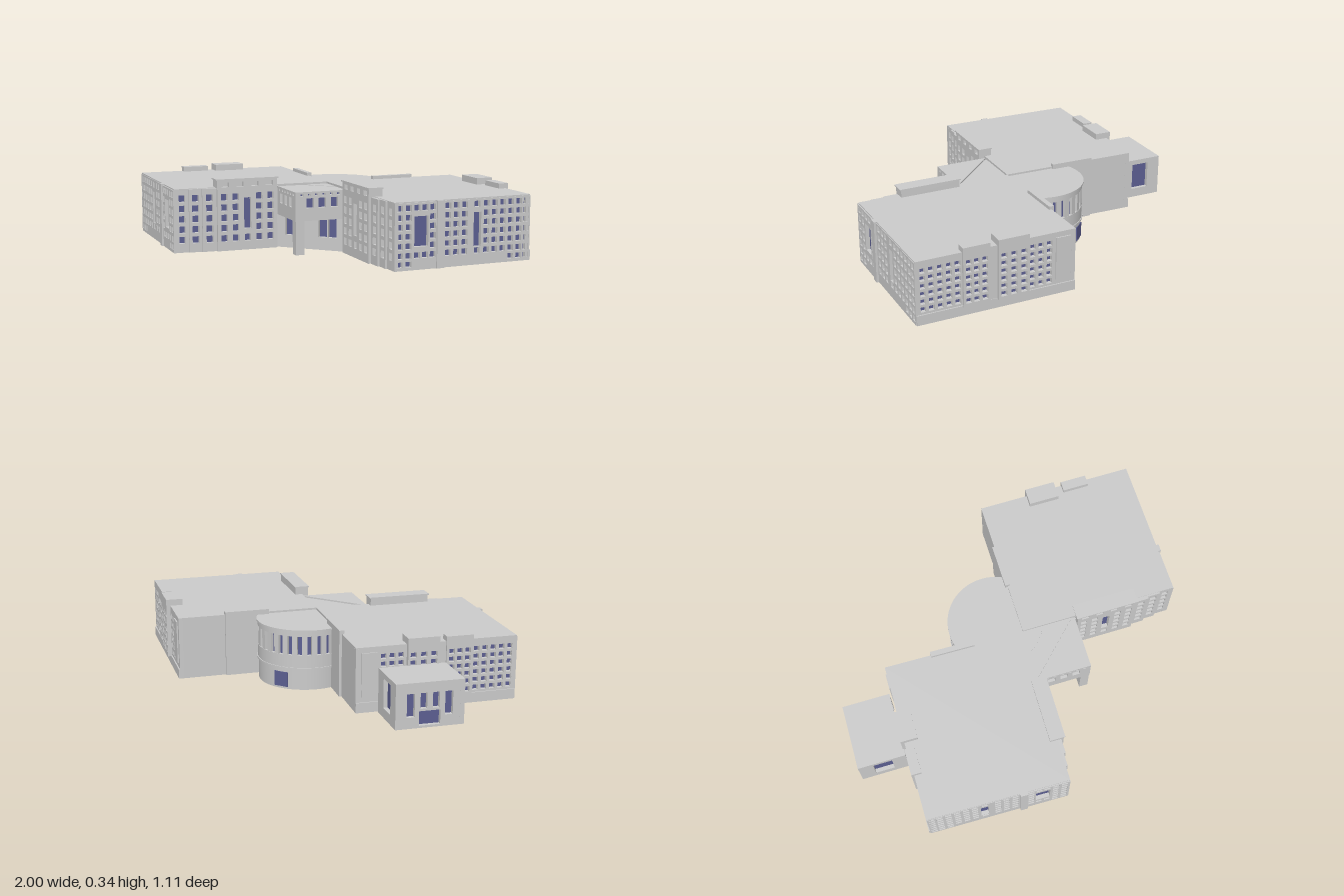
import * as THREE from 'three';

const grey = new THREE.MeshStandardMaterial({ color: 0xcccccc, flatShading: true });
const smooth = new THREE.MeshStandardMaterial({ color: 0xcccccc });
const glass = new THREE.MeshStandardMaterial({ color: 0x5c5f92 });
const DEPTH = 0.02, ROOF = 0.295;

function add(parent, name, geometry, material = grey) {
  const mesh = new THREE.Mesh(geometry, material);
  mesh.name = name;
  parent.add(mesh);
  return mesh;
}

// Box given by its min and max corners
function block(parent, name, [x0, y0, z0], [x1, y1, z1], material) {
  const g = new THREE.BoxGeometry(x1 - x0, y1 - y0, z1 - z0);
  g.translate((x0 + x1) / 2, (y0 + y1) / 2, (z0 + z1) / 2);
  return add(parent, name, g, material);
}

// Upright prism over a floor plan of [x, z] points
function prism(parent, name, plan, y0, y1) {
  const shape = new THREE.Shape(plan.map(([x, z]) => new THREE.Vector2(x, -z)));
  const g = new THREE.ExtrudeGeometry(shape, { depth: y1 - y0, bevelEnabled: false });
  g.rotateX(-Math.PI / 2).translate(0, y0, 0);
  return add(parent, name, g);
}

// Wall frame from a to b: local x runs along the wall, local z points outward.
// With m = -1 the wall is mirrored to the other side of the building.
function wall(parent, name, a, b, m = 1) {
  const [p, q] = m > 0 ? [a, b] : [[-b[0], b[1]], [-a[0], a[1]]];
  const frame = new THREE.Group();
  frame.name = name;
  frame.position.set(p[0], 0, p[1]);
  frame.rotation.y = Math.atan2(p[1] - q[1], q[0] - p[0]);
  parent.add(frame);
  const len = Math.hypot(q[0] - p[0], q[1] - p[1]);
  const span = (s0, s1) => (m > 0 ? [s0, s1] : [len - s1, len - s0]);

  // Wall section with deep window openings; each hole is [s0, s1, y0, y1]
  const bay = (s0, s1, y0, y1, out = 0, holes = []) => {
    const rect = (Type, [u0, u1, v0, v1]) => {
      const [x0, x1] = span(u0, u1);
      return new Type([[x0, v0], [x1, v0], [x1, v1], [x0, v1]].map((c) => new THREE.Vector2(...c)));
    };
    const shape = rect(THREE.Shape, [s0, s1, y0, y1]);
    shape.holes = holes.map((h) => rect(THREE.Path, h));
    const g = new THREE.ExtrudeGeometry(shape, { depth: DEPTH + out, bevelEnabled: false });
    add(frame, 'wallSection', g.translate(0, 0, -DEPTH));
    if (!holes.length) return;
    const [x0, x1] = span(s0, s1), top = Math.min(y1, 0.285);
    const pane = new THREE.PlaneGeometry(x1 - x0 - 0.004, top - y0 - 0.004);
    add(frame, 'windowGlass', pane.translate((x0 + x1) / 2, (y0 + top) / 2, out - DEPTH + 0.001), glass);
  };
  const box = (label, s0, s1, y0, y1, z0, z1) => {
    const [x0, x1] = span(s0, s1);
    block(frame, label, [x0, y0, z0], [x1, y1, z1]);
  };
  return { bay, box, len };
}

// Window openings at the given columns and rows, leaving room for larger ones
function windows(cols, rows, w, h, large = []) {
  const list = [...large];
  for (const s of cols) for (const y of rows) {
    const r = [s - w / 2, s + w / 2, y - h / 2, y + h / 2];
    if (!large.some((b) => r[0] < b[1] + 0.003 && r[1] > b[0] - 0.003 && r[2] < b[3] + 0.003 && r[3] > b[2] - 0.003)) list.push(r);
  }
  return list;
}
const series = (start, step, n) => Array.from({ length: n }, (_, i) => start + step * i);

function createWing(m) {
  const wing = new THREE.Group();
  wing.name = m > 0 ? 'leftWing' : 'rightWing';
  const inner = [0, 0.02], front = [0.53, 0.545], side = [0.995, 0.065], back = [0.465, -0.46];
  const corners = [inner, front, side, back];
  const inset = corners.map(([x, z]) => [m * (0.4975 + (x - 0.4975) * 0.935), 0.0425 + (z - 0.0425) * 0.935]);
  prism(wing, 'wingCore', inset, 0, 0.29);
  prism(wing, 'wingRoof', corners.map(([x, z]) => [m * x, z]), 0.285, ROOF);
  const rows = series(0.063, 0.041, 6);

  // Outer front wall: dense windows, two large panes and a pilaster
  const outer = wall(wing, 'outerFrontWall', front, side, m);
  outer.bay(0, 0.2, 0, 0.29, 0.006, [
    ...windows([0.025, 0.066, 0.107, 0.145, 0.182], rows, 0.028, 0.027, [[0.093, 0.16, 0.1, 0.232]]),
    ...windows([0.025, 0.066], [0.026], 0.028, 0.024)]);
  outer.bay(0.2, 0.234, 0, ROOF, 0.014);
  outer.bay(0.234, outer.len, 0, 0.29, 0.003, [
    ...windows([0.257, 0.298, 0.339, 0.4, 0.447, 0.488, 0.529, 0.57, 0.611, 0.648], rows, 0.028, 0.027, [[0.383, 0.42, 0.08, 0.232]]),
    ...windows([0.57, 0.611, 0.648], [0.026], 0.028, 0.024)]);

  // Outer back wall: plinth, two raised bays and a blank end
  const rear = wall(wing, 'outerBackWall', side, back, m);
  const rearRows = series(0.068, 0.036, 6);
  rear.box('plinth', 0, rear.len, 0, 0.046, -DEPTH, 0.006);
  rear.bay(0, 0.21, 0.04, 0.29, 0, windows(series(0.03, 0.04, 5), rearRows, 0.026, 0.024));
  rear.bay(0.21, 0.335, 0.04, 0.318, 0.012, windows([0.235, 0.272, 0.31], rearRows, 0.026, 0.024));
  rear.bay(0.335, 0.37, 0.04, ROOF, 0.004);
  rear.bay(0.37, 0.515, 0.04, 0.325, 0.02, windows([0.395, 0.442, 0.49], rearRows, 0.028, 0.024));
  rear.bay(0.515, rear.len, 0.04, 0.29, 0, windows([0.54, 0.58, 0.62], rearRows, 0.026, 0.024));
  rear.box('blankPanel', 0.65, 0.72, 0.07, 0.27, 0, 0.006);
  rear.box('roofBox', 0.21, 0.335, 0.29, 0.318, -0.035, 0);
  rear.box('roofBox', 0.37, 0.515, 0.29, 0.325, -0.06, 0);

  // Inner front wall: tall bay with a pierced parapet, then stepped bays
  const inside = wall(wing, 'innerFrontWall', inner, front, m);
  const tallRows = series(0.058, 0.048, 5);
  inside.bay(0.23, 0.262, 0, ROOF);
  inside.bay(0.262, 0.552, 0, 0.33, 0.03, [
    ...windows([0.295, 0.35, 0.407, 0.464, 0.519], tallRows, 0.03, 0.032, [[0.39, 0.424, 0.1, 0.245]]),
    ...windows([0.3, 0.371, 0.443, 0.514], [0.308], 0.035, 0.022)]);
  inside.box('parapetBack', 0.262, 0.552, 0.29, 0.33, -0.035, 0.008);
  inside.box('parapetCap', 0.256, 0.558, 0.329, 0.335, -0.038, 0.034);
  [[0.552, 0.62, 0.018], [0.62, 0.68, 0.009], [0.68, inside.len, 0]].forEach(([s0, s1, out]) =>
    inside.bay(s0, s1, 0, 0.293, out, windows([(s0 + s1) / 2], tallRows, 0.032, 0.032)));

  // Inner back wall: blank with one raised panel
  const blank = wall(wing, 'innerBackWall', back, inner, m);
  blank.bay(0, blank.len, 0, 0.29);
  blank.box('raisedPanel', 0.22, 0.43, 0, 0.31, -0.012, 0.012);
  return wing;
}

function createRoundHall() {
  const hall = new THREE.Group();
  hall.name = 'roundHall';
  hall.position.set(-0.015, 0, -0.12);
  const drum = (name, r, y0, y1, material = smooth) =>
    add(hall, name, new THREE.CylinderGeometry(r, r, y1 - y0, 64).translate(0, (y0 + y1) / 2, 0), material);
  drum('lowerWall', 0.217, 0, 0.1);
  drum('ledge', 0.224, 0.098, 0.106);
  drum('middleWall', 0.22, 0.1, 0.165);
  drum('windowBand', 0.205, 0.165, 0.255, glass);
  drum('upperWall', 0.22, 0.255, 0.28);
  drum('roofRim', 0.226, 0.278, 0.286);
  // Piers between the tall windows
  for (let i = -9; i <= 9; i++) {
    const pier = new THREE.BoxGeometry(0.025, 0.092, 0.02).translate(0, 0.21, -0.209);
    add(hall, 'pier', pier.rotateY((i * 12 + 6) * Math.PI / 180));
  }
  block(hall, 'backDoor', [-0.035, 0.01, -0.219], [0.035, 0.08, -0.2], glass);
  return hall;
}

function createEntrance() {
  const entrance = new THREE.Group();
  entrance.name = 'entrance';
  block(entrance, 'entranceHall', [-0.17, 0, -0.14], [0.17, 0.284, 0.19]);
  const doors = wall(entrance, 'entranceWall', [-0.18, 0.21], [0.18, 0.21]);
  doors.bay(0, 0.36, 0, 0.28, 0, [
    [0.05, 0.093, 0.06, 0.158], [0.098, 0.142, 0.06, 0.158],
    [0.218, 0.262, 0.06, 0.158], [0.267, 0.31, 0.06, 0.158]]);
  // Pointed canopy with windowed fascia on one corner column
  prism(entrance, 'canopyCore', [[-0.14, 0.2], [0, 0.35], [0.14, 0.2]], 0.16, 0.28);
  prism(entrance, 'canopyRoof', [[-0.18, 0.2], [0, 0.38], [0.18, 0.2]], 0.28, 0.288);
  for (const m of [1, -1]) {
    const fascia = wall(entrance, 'canopyFascia', [0, 0.38], [0.17, 0.21], m);
    fascia.bay(0, fascia.len, 0.155, 0.284, 0, [
      ...windows([0.07, 0.13, 0.19], [0.236], 0.036, 0.045),
      ...windows(series(0.03, 0.036, 6), [0.274], 0.014, 0.01)]);
  }
  const column = block(entrance, 'canopyColumn', [-0.021, 0, -0.021], [0.021, 0.165, 0.021]);
  column.position.set(0, 0, 0.348);
  column.rotation.y = Math.PI / 4;
  return entrance;
}

function createAnnex() {
  const annex = new THREE.Group();
  annex.name = 'backAnnex';
  const p = [[-0.705, -0.56], [-0.925, -0.345], [-0.765, -0.185], [-0.545, -0.4]];
  const core = p.map(([x, z]) => [-0.735 + (x + 0.735) * 0.82, -0.3725 + (z + 0.3725) * 0.82]);
  prism(annex, 'annexCore', core, 0, 0.19);
  prism(annex, 'annexRoof', p, 0.192, 0.202);
  const back = wall(annex, 'annexBackWall', p[0], p[1]);
  back.bay(0, back.len, 0, 0.195, 0, [
    [0.05, 0.085, 0.05, 0.155], [0.105, 0.2, 0.01, 0.075],
    [0.11, 0.14, 0.085, 0.155], [0.165, 0.195, 0.085, 0.155], [0.22, 0.255, 0.05, 0.155]]);
  for (const [a, b] of [[p[3], p[0]], [p[1], p[2]]]) {
    const flank = wall(annex, 'annexSideWall', a, b);
    flank.bay(0, flank.len, 0, 0.195, 0, [[0.07, 0.16, 0.045, 0.178]]);
  }
  return annex;
}

export function createModel() {
  const model = new THREE.Group();
  model.name = 'building';
  model.add(createWing(1), createWing(-1), createRoundHall(), createEntrance(), createAnnex());
  return model;
}
